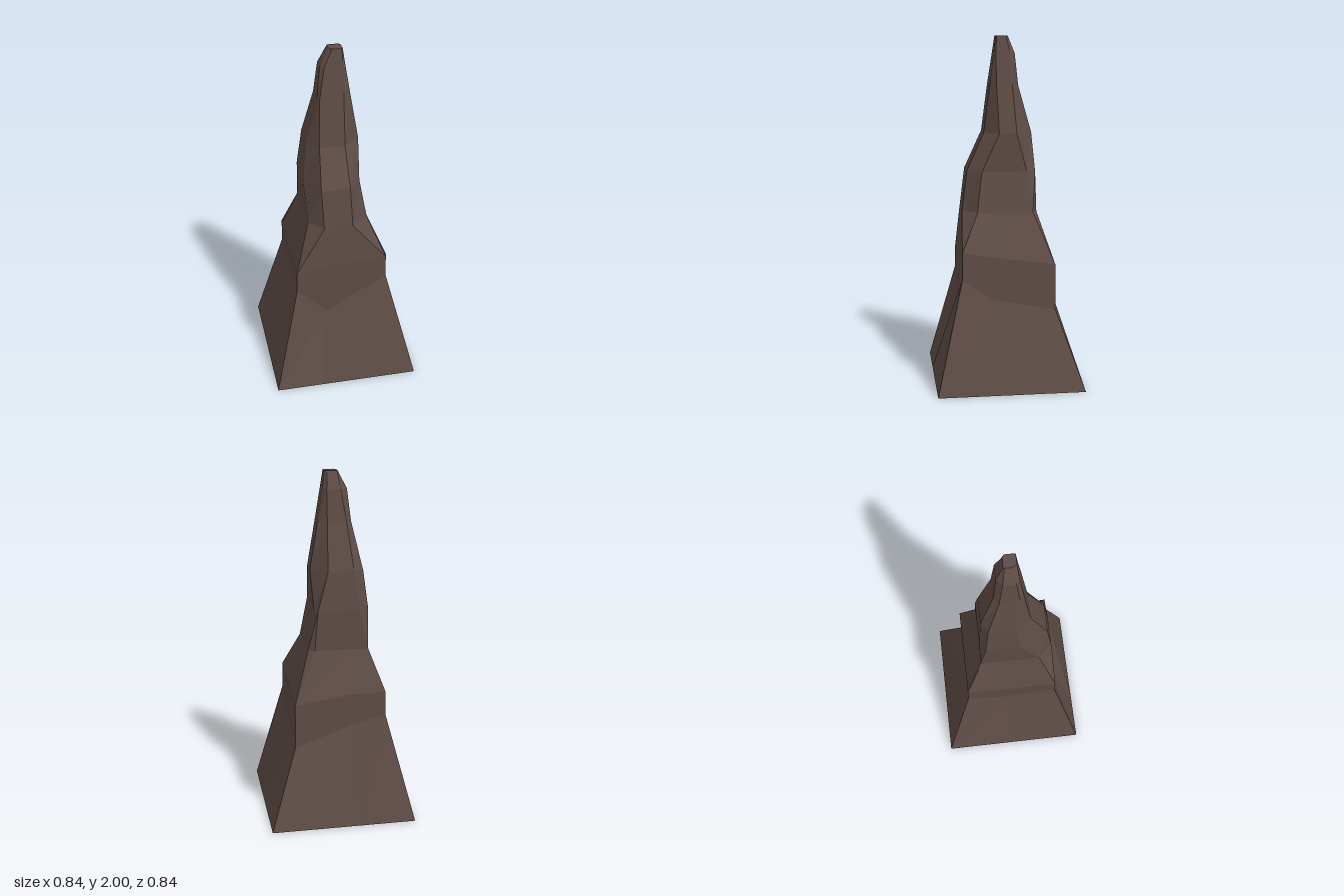
import * as THREE from 'three';

// Each level: heights, then the front, right, back and left sides as
// [distance from centre, start, end], running counter-clockwise seen from above.
const square = (h, l = -h, r = h) => [[h, l, r], [r, h, -h], [-h, r, l], [l, -h, h]];
const LEVELS = [
  { y: 0, sides: square(0.42) },
  // slanting lower edge of the ledge: three heights along each side
  { y: [0.6, 0.43, 0.64, 0.63, 0.51, 0.45, 0.45, 0.57, 0.62, 0.62, 0.56, 0.6], sides: square(0.267, -0.267, 0.262) },
  // upper edge of the ledge
  { y: [0.72, 0.75, 0.77, 0.79, 0.76, 0.71, 0.71, 0.76, 0.76, 0.74, 0.72, 0.72], sides: square(0.266, -0.266, 0.26) },
  { y: 1.0, sides: [[0.25, -0.1, 0.065], [0.165, 0.17, -0.15], [-0.175, 0.13, -0.18], [-0.18, -0.17, 0.17]] },
  { y: 1.23, sides: [[0.22, -0.11, 0.055], [0.125, 0.14, -0.12], [-0.17, 0.11, -0.13], [-0.185, -0.14, 0.06]] },
  { y: 1.45, sides: [[0.12, -0.1, 0.045], [0.138, 0.04, -0.06], [-0.155, 0.05, -0.1], [-0.158, -0.12, 0.03]] },
  { y: 1.72, sides: [[0.085, -0.09, 0.045], [0.09, 0.05, -0.04], [-0.08, 0.04, -0.07], [-0.1, -0.05, 0.06]] },
  { y: 1.9, sides: [[0.06, -0.06, 0.045], [0.06, 0.05, -0.03], [-0.06, 0.04, -0.04], [-0.08, -0.03, 0.04]] },
  { y: 2.0, sides: [[0.05, -0.015, 0.04], [0.045, 0.045, -0.01], [-0.02, 0.03, -0.025], [-0.03, -0.015, 0.025]] },
];
const MIDDLES = [0.33, 0.35, 0.62, 0.5]; // where the middle crease sits on each side

// Three points per side: start, crease, end
function ring({ y, sides }) {
  const points = [];
  sides.forEach(([d, start, end], s) => {
    for (const t of [0, MIDDLES[s], 1]) {
      const along = THREE.MathUtils.lerp(start, end, t);
      const h = Array.isArray(y) ? y[points.length] : y;
      points.push(s % 2 ? new THREE.Vector3(d, h, along) : new THREE.Vector3(along, h, d));
    }
  });
  return points;
}

// Faceted skin through the rings, closed at both ends
function loft(rings) {
  const pos = [];
  const tri = (a, b, c) => {
    const area = b.clone().sub(a).cross(c.clone().sub(a)).length();
    if (area > 1e-7) for (const p of [a, b, c]) pos.push(p.x, p.y, p.z);
  };
  const n = rings[0].length;
  const top = rings[rings.length - 1];
  const centre = (r) => r.reduce((sum, p) => sum.add(p), new THREE.Vector3()).divideScalar(n);
  const low = centre(rings[0]);
  const high = centre(top);
  for (let j = 0; j < n; j++) {
    const k = (j + 1) % n;
    for (let i = 0; i < rings.length - 1; i++) {
      tri(rings[i][j], rings[i][k], rings[i + 1][k]);
      tri(rings[i][j], rings[i + 1][k], rings[i + 1][j]);
    }
    tri(low, rings[0][k], rings[0][j]);
    tri(high, top[j], top[k]);
  }
  const geometry = new THREE.BufferGeometry();
  geometry.setAttribute('position', new THREE.Float32BufferAttribute(pos, 3));
  geometry.computeVertexNormals();
  return geometry;
}

export function createModel() {
  const group = new THREE.Group();
  group.name = 'rockSpire';
  const stone = new THREE.MeshStandardMaterial({ color: 0x5e4c46 });
  stone.name = 'brown stone';
  const spire = new THREE.Mesh(loft(LEVELS.map(ring)), stone);
  spire.name = 'spire';
  group.add(spire);
  return group;
}
